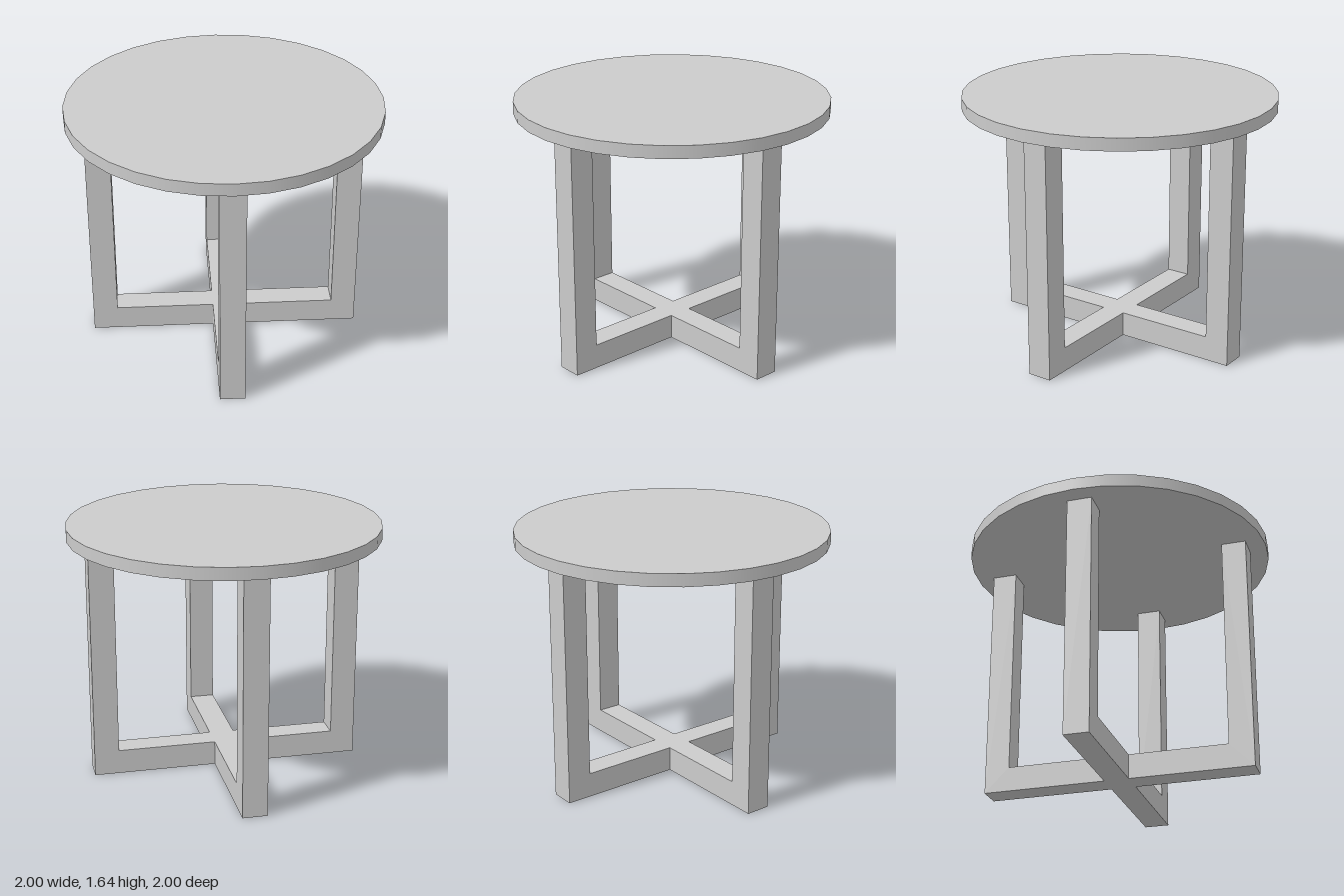
import * as THREE from 'three';

const BAR = 0.16;      // square section of legs and rails
const REACH = 0.88;    // centre to outer face of a leg
const LEG_TOP = 1.565;
const TOP_THICKNESS = 0.08;

const material = new THREE.MeshStandardMaterial({ color: 0xcccccc });

// Extrudes a frame outline, drawn in the x-y plane, to the bar width
function makeFrame(name, points, turn = 0) {
  const shape = new THREE.Shape(points.map(([x, y]) => new THREE.Vector2(x, y)));
  const geometry = new THREE.ExtrudeGeometry(shape, { depth: BAR, bevelEnabled: false });
  geometry.translate(0, 0, -BAR / 2);
  const mesh = new THREE.Mesh(geometry, material);
  mesh.name = name;
  mesh.rotation.y = turn;
  return mesh;
}

export function createModel() {
  const table = new THREE.Group();
  table.name = 'roundTable';

  // Round top
  const top = new THREE.Mesh(new THREE.CylinderGeometry(1, 1, TOP_THICKNESS, 32), material);
  top.name = 'tableTop';
  top.position.y = LEG_TOP + TOP_THICKNESS / 2;
  table.add(top);

  // Continuous U frame from side to side: two legs and a floor rail
  const inner = REACH - BAR;
  table.add(makeFrame('sideToSideFrame', [
    [-REACH, 0], [REACH, 0], [REACH, LEG_TOP], [inner, LEG_TOP],
    [inner, BAR], [-inner, BAR], [-inner, LEG_TOP], [-REACH, LEG_TOP],
  ]));

  // Front and back L frames butt against the U frame's rail
  const halfFrame = [
    [BAR / 2, 0], [REACH, 0], [REACH, LEG_TOP],
    [inner, LEG_TOP], [inner, BAR], [BAR / 2, BAR],
  ];
  table.add(makeFrame('frontFrame', halfFrame, -Math.PI / 2));
  table.add(makeFrame('backFrame', halfFrame, Math.PI / 2));

  return table;
}
